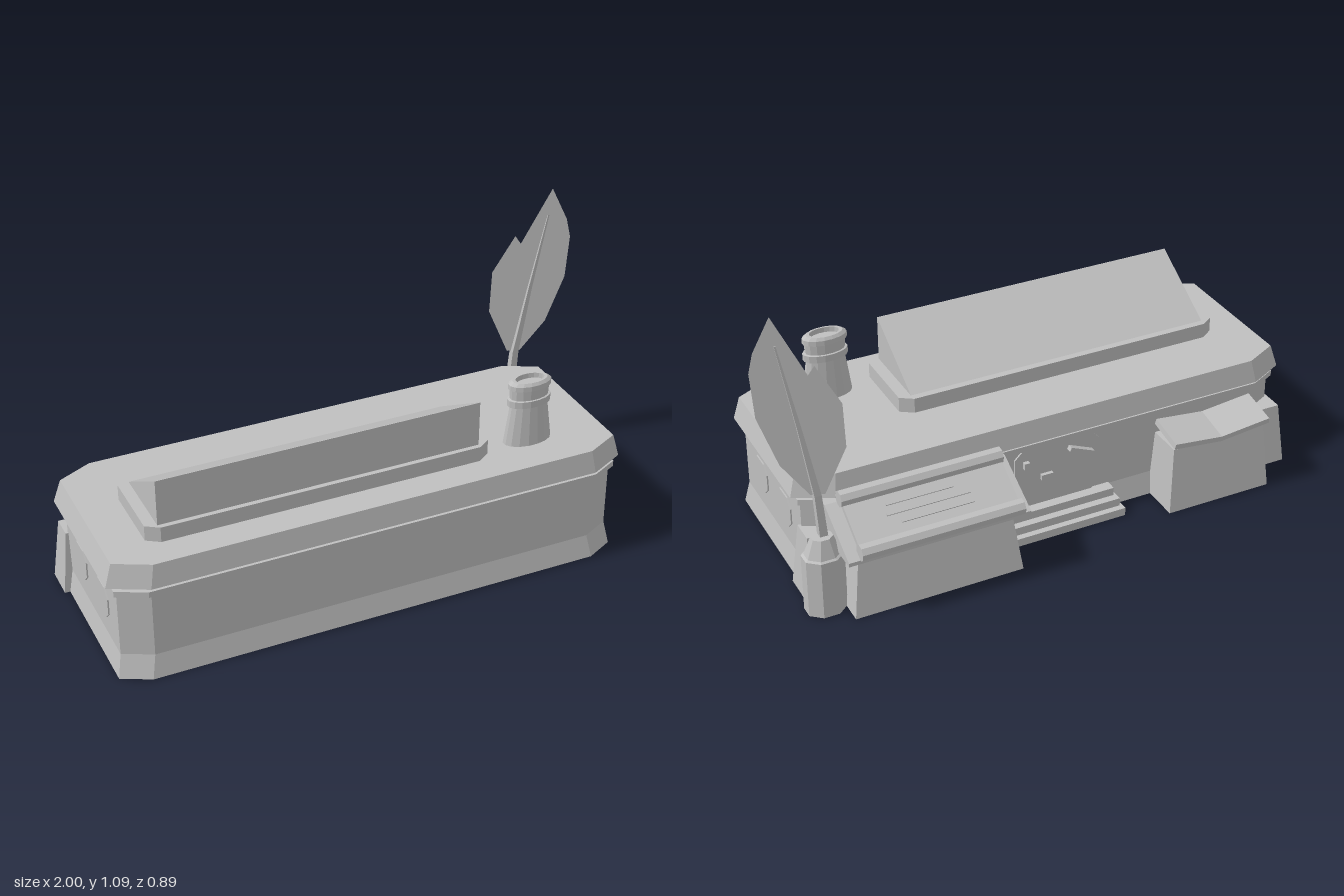
import * as THREE from 'three';

const stone = new THREE.MeshStandardMaterial({ color: 0xbfbfbf, flatShading: true, side: THREE.DoubleSide });
stone.name = 'plainGrey';

// Chamfered rectangle, counterclockwise from above
function ring(y, x0, x1, z0, z1, cx = 0, cz = cx) {
  const p = cx
    ? [[x0 + cx, z1], [x1 - cx, z1], [x1, z1 - cz], [x1, z0 + cz], [x1 - cx, z0], [x0 + cx, z0], [x0, z0 + cz], [x0, z1 - cz]]
    : [[x0, z1], [x1, z1], [x1, z0], [x0, z0]];
  return p.map(([x, z]) => [x, y, z]);
}

// Ellipse section
function oval(y, x, z, rx, rz, n) {
  return Array.from({ length: n }, (_, i) => {
    const a = ((i + 0.5) / n) * Math.PI * 2;
    return [x + rx * Math.cos(a), y, z - rz * Math.sin(a)];
  });
}

// Skin a stack of sections, with optional end caps
function loft(rings, bottom = true, top = true) {
  const v = [];
  const n = rings[0].length;
  for (let r = 0; r < rings.length - 1; r++) {
    for (let i = 0; i < n; i++) {
      const j = (i + 1) % n;
      const [a, b, c, d] = [rings[r][i], rings[r][j], rings[r + 1][j], rings[r + 1][i]];
      v.push(...a, ...b, ...c, ...a, ...c, ...d);
    }
  }
  const last = rings[rings.length - 1];
  for (let i = 1; i < n - 1; i++) {
    if (bottom) v.push(...rings[0][0], ...rings[0][i + 1], ...rings[0][i]);
    if (top) v.push(...last[0], ...last[i], ...last[i + 1]);
  }
  const g = new THREE.BufferGeometry();
  g.setAttribute('position', new THREE.Float32BufferAttribute(v, 3));
  g.computeVertexNormals();
  return g;
}

// Thin plate with cut corners, facing +z
function plate(w, h, c, depth = 0.006) {
  const s = new THREE.Shape(ring(0, -w / 2, w / 2, -h / 2, h / 2, c).map(([x, , z]) => new THREE.Vector2(x, z)));
  return new THREE.ExtrudeGeometry(s, { depth, bevelEnabled: false });
}

export function createModel() {
  const model = new THREE.Group();
  const add = (name, geometry, x = 0, y = 0, z = 0, parent = model) => {
    const m = new THREE.Mesh(geometry, stone);
    m.name = name;
    m.position.set(x, y, z);
    parent.add(m);
    return m;
  };
  const box = (name, w, h, d, x, y, z, parent) => add(name, new THREE.BoxGeometry(w, h, d), x, y, z, parent);

  // Walls with a flared skirt, hollow underneath
  const wall = (y, e = 0) => ring(y, -0.965 - e, 0.835 + e, -0.205 - e, 0.42 + e, 0.1, 0.05);
  add('walls', loft([wall(0, 0.016), wall(0.085), wall(0.37)], false, true));
  add('floor', loft([wall(0.083, -0.002), wall(0.087, -0.002)]));
  add('cornice', loft([wall(0.322, 0.012), wall(0.343, 0.012)]));

  // Roof slab
  add('roof', loft([
    ring(0.357, -1, 0.87, -0.23, 0.44, 0.13, 0.065),
    ring(0.44, -0.975, 0.848, -0.215, 0.427, 0.12, 0.06),
  ]));
  add('skylightBase', loft([
    ring(0.44, -0.835, 0.395, 0.005, 0.322, 0.045, 0.03),
    ring(0.495, -0.835, 0.395, 0.005, 0.322, 0.045, 0.03),
  ]));
  add('skylightWedge', loft([
    ring(0.495, -0.795, 0.352, 0.03, 0.305),
    ring(0.66, -0.795, 0.352, 0.303, 0.305),
  ]));

  // Oval chimney with a sunken top
  const flue = [[0.44, 0.09], [0.585, 0.07], [0.587, 0.081], [0.612, 0.081], [0.614, 0.072], [0.65, 0.074],
    [0.652, 0.081], [0.67, 0.08], [0.68, 0.066], [0.68, 0.054], [0.662, 0.052]];
  add('chimney', loft(flue.map(([y, r]) => oval(y, 0.565, 0.26, r, r * 0.54, 16))));

  // End windows
  for (const z of [0.218, -0.003]) {
    add('rightWindow', plate(0.126, 0.118, 0.03), 0.834, 0.21, z).rotation.y = Math.PI / 2;
    add('leftWindow', plate(0.126, 0.118, 0.03), -0.964, 0.21, z).rotation.y = -Math.PI / 2;
  }

  // Back corner buttresses
  for (const s of [-1, 1]) {
    const r = (y, outer, z0, z1) => {
      const xs = [-0.065 + s * (0.935 - outer), -0.065 + s * 0.8].sort((a, b) => a - b);
      return ring(y, xs[0], xs[1], z0, z1);
    };
    add('buttress', loft([r(0, 0, -0.25, -0.13), r(0.23, 0.025, -0.23, -0.145)]));
  }

  // Door with its fittings and steps
  add('door', plate(0.33, 0.25, 0.04), -0.085, 0.205, -0.211);
  box('mailSlot', 0.045, 0.02, 0.015, -0.04, 0.2, -0.217);
  box('doorKnob', 0.02, 0.025, 0.02, 0.04, 0.265, -0.217);
  box('doorHandle', 0.1, 0.016, 0.025, -0.17, 0.27, -0.22).rotation.z = 0.4;
  for (const [i, z] of [-0.298, -0.275, -0.247].entries()) {
    const w = 0.46 - i * 0.02;
    box('step', w, 0.03, -0.19 - z, -0.08, 0.015 + i * 0.03, (z - 0.19) / 2);
  }

  // Tapered counter with a sloped desk top
  add('counter', loft([
    ring(0, 0.15, 0.76, -0.415, -0.2),
    ring(0.226, 0.18, 0.73, -0.385, -0.2),
  ]));
  add('deskTop', loft([
    ring(0.226, 0.13, 0.78, -0.43, -0.2),
    ring(0.24, 0.13, 0.78, -0.43, -0.2),
    ring(0.345, 0.13, 0.78, -0.235, -0.2),
  ]));

  // Unrolled scroll on the desk
  const scroll = new THREE.Group();
  scroll.name = 'scroll';
  scroll.position.set(0.45, 0.312, -0.338);
  scroll.rotation.x = -Math.atan2(0.105, 0.165);
  model.add(scroll);
  box('scrollSheet', 0.57, 0.018, 0.19, 0, 0, 0, scroll);
  for (const z of [-0.098, 0.098]) {
    const roller = new THREE.CylinderGeometry(0.029, 0.029, 0.58, 8);
    add('scrollRoller', roller, 0, 0.008, z, scroll).rotation.z = Math.PI / 2;
  }
  [0.24, 0.3, 0.26].forEach((w, i) => box('scrollLine', w, 0.006, 0.008, 0.03 - i * 0.02, 0.011, 0.035 - i * 0.035, scroll));

  // Stand with an open book
  add('bookStand', loft([
    ring(0, -0.86, -0.455, -0.36, -0.2),
    ring(0.245, -0.84, -0.475, -0.335, -0.2),
  ]));
  for (const s of [-1, 1]) {
    const page = box('bookPage', 0.195, 0.022, 0.14, -0.657 + s * 0.095, 0.275, -0.287);
    page.rotation.set(-0.2, 0, s * 0.13);
  }

  // Octagonal inkwell
  const well = (y, r) => oval(y, 0.822, -0.308, r, r * 0.83, 8);
  add('inkwell', loft([well(0, 0.073), well(0.215, 0.073), well(0.22, 0.064), well(0.285, 0.038)]));

  // Quill vane, lying in a slanted plane
  const slant = (x) => -0.33 + (x - 0.73) * 0.33;
  const outline = [[0.8, 0.44], [0.845, 0.44], [0.93, 0.56], [0.99, 0.74], [1, 0.9], [0.985, 0.97], [0.93, 1.092],
    [0.87, 0.965], [0.83, 0.88], [0.81, 0.912], [0.735, 0.77], [0.73, 0.61]];
  const vane = new THREE.ShapeGeometry(new THREE.Shape(outline.map(([x, y]) => new THREE.Vector2(x, y))));
  const pos = vane.attributes.position;
  for (let i = 0; i < pos.count; i++) pos.setZ(i, slant(pos.getX(i)));
  vane.computeVertexNormals();
  add('quillVane', vane);

  // Quill shaft
  add('quillShaft', loft([[0.27, 0.815, 0.02], [0.44, 0.826, 0.017], [0.7, 0.868, 0.01], [0.99, 0.92, 0.004]]
    .map(([y, x, r]) => oval(y, x, slant(x), r, r, 4))));

  return model;
}
